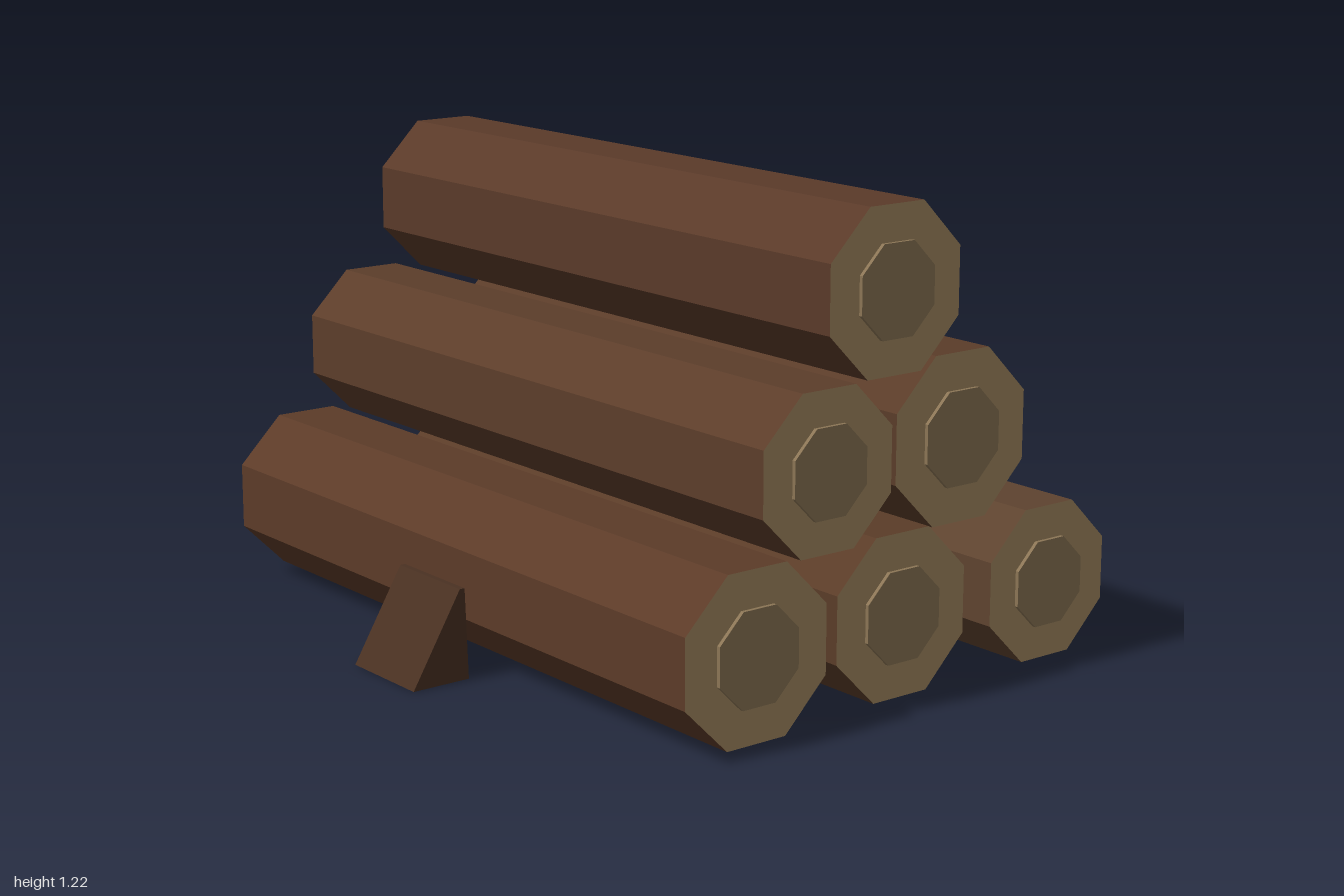
import * as THREE from 'three';

const mat = (color) => new THREE.MeshStandardMaterial({ color, flatShading: true });
const SIDES = 8;
const TURN = Math.PI / SIDES; // puts a flat side on top

// x, y, distance from centre to flat side, back z, front z, bark colour
const LOGS = [
  [-0.479, 0.231, 0.211, -0.967, 0.987, 0x5c3b28],
  [0, 0.229, 0.206, -0.867, 0.955, 0x5a3c28],
  [0.475, 0.230, 0.196, -0.828, 0.975, 0x5e432f],
  [-0.240, 0.622, 0.198, -0.990, 0.956, 0x5c3d2a],
  [0.236, 0.622, 0.213, -0.910, 0.902, 0x5a3c29],
  [0, 1.016, 0.206, -0.974, 0.915, 0x5a3a29],
];

function createLog([x, y, apothem, back, front, color], wood, heartwood) {
  const log = new THREE.Group();
  log.name = 'log';
  const radius = apothem / Math.cos(TURN);
  const length = front - back;
  const add = (name, geometry, material, z) => {
    const mesh = new THREE.Mesh(geometry, material);
    mesh.name = name;
    mesh.position.z = z;
    log.add(mesh);
    return mesh;
  };

  // bark: open eight-sided tube along z
  const tube = new THREE.CylinderGeometry(radius, radius, length, SIDES, 1, true, TURN);
  add('bark', tube.rotateX(Math.PI / 2), mat(color), 0);

  // cut faces, each with a slightly raised core
  const face = new THREE.CircleGeometry(radius, SIDES, TURN);
  const core = new THREE.CylinderGeometry(radius * 0.56, radius * 0.56, 0.02, SIDES, 1, false, TURN);
  core.rotateX(Math.PI / 2);
  for (const side of [1, -1]) {
    const z = side * length / 2;
    const cut = add('cutFace', face, wood, z);
    if (side < 0) cut.rotation.y = Math.PI;
    add('heartwood', core, heartwood, z);
  }
  log.position.set(x, y, (front + back) / 2);
  return log;
}

// wedge profile with a narrow top, extruded along z
function createWedge(side, material) {
  const points = [[0.703, 0], [0.867, 0], [0.726, 0.236], [0.712, 0.236]];
  const shape = new THREE.Shape(points.map(([x, y]) => new THREE.Vector2(side * x, y)));
  const geometry = new THREE.ExtrudeGeometry(shape, { depth: 0.266, bevelEnabled: false });
  const wedge = new THREE.Mesh(geometry, material);
  wedge.name = side > 0 ? 'leftWedge' : 'rightWedge';
  wedge.position.z = -0.119;
  return wedge;
}

export function createModel() {
  const model = new THREE.Group();
  model.name = 'logPile';
  const wood = mat(0xa58a62);
  const heartwood = mat(0x8b7555);
  const wedgeWood = mat(0x4a3122);
  for (const spec of LOGS) model.add(createLog(spec, wood, heartwood));
  for (const side of [1, -1]) model.add(createWedge(side, wedgeWood));
  return model;
}
